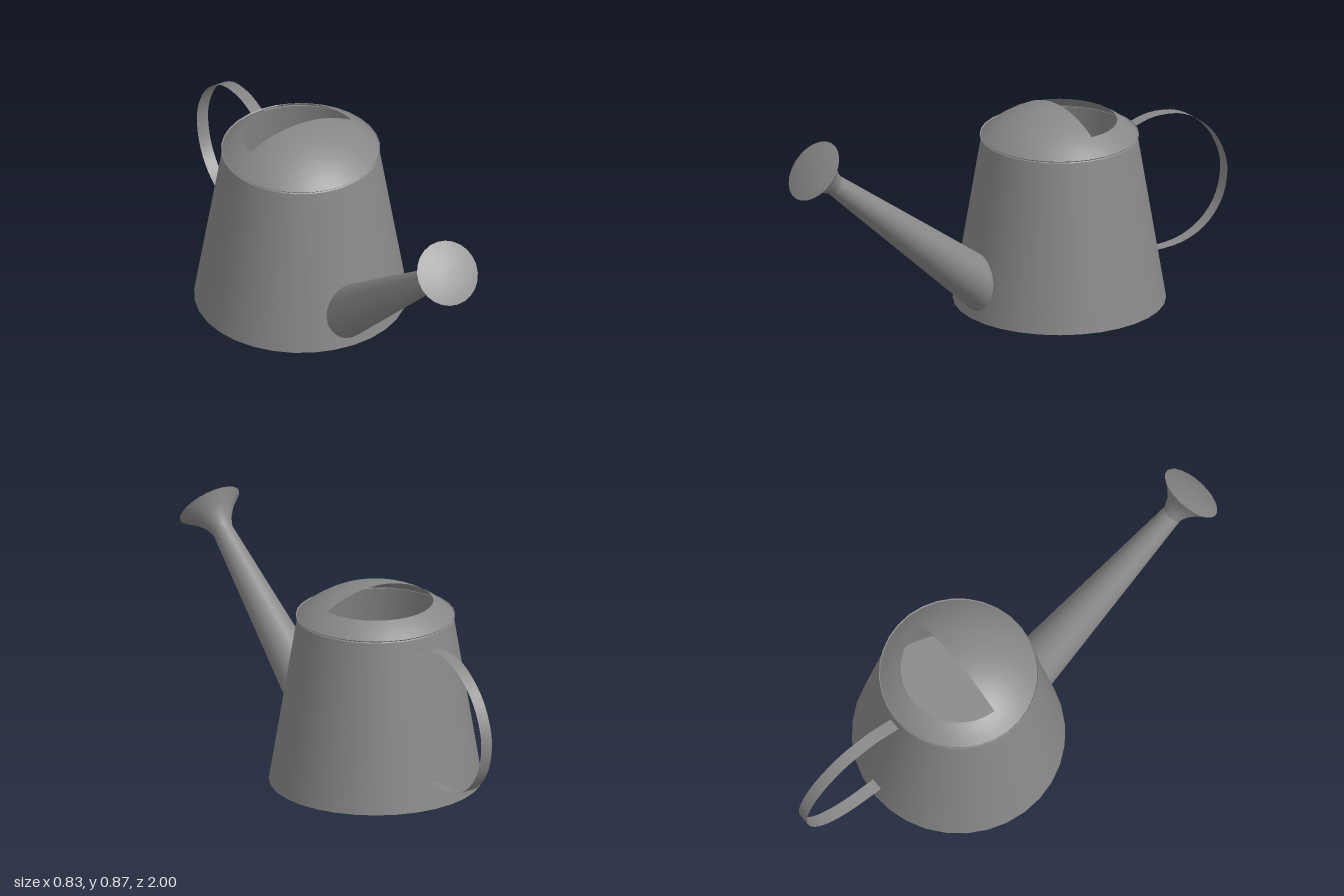
import * as THREE from 'three';

const SIDES = 32;

export function createModel() {
  const model = new THREE.Group();
  model.name = 'wateringCan';
  const metal = new THREE.MeshStandardMaterial({ color: 0x888888, side: THREE.DoubleSide });
  metal.name = 'greyMetal';

  const add = (name, geometry, parent) => {
    const mesh = new THREE.Mesh(geometry, metal);
    mesh.name = name;
    parent.add(mesh);
    return mesh;
  };
  // Turned part from [radius, height] pairs listed bottom to top
  const turned = (pairs, start = 0, sweep = Math.PI * 2, sides = SIDES) =>
    new THREE.LatheGeometry(pairs.map(([r, y]) => new THREE.Vector2(r, y)), sides, start, sweep);

  // Tapered can, open at the top under the hood
  const can = new THREE.Group();
  can.name = 'can';
  can.position.z = -0.23;
  model.add(can);
  add('bodyWall', turned([[0.414, 0.004], [0.302, 0.682]]), can);
  const floor = add('bodyFloor', new THREE.CircleGeometry(0.414, SIDES), can);
  floor.rotation.x = Math.PI / 2;
  floor.position.y = 0.004;
  add('rim', turned([[0.302, 0.676], [0.309, 0.684]]), can);

  // Shallow dome: whole over the front half, a ring around the filling hole behind
  const R = 0.448, peak = 0.8;
  const dome = (rInner, steps) => {
    const pairs = [];
    for (let i = 0; i <= steps; i++) {
      const r = THREE.MathUtils.lerp(0.309, rInner, i / steps);
      pairs.push([r, peak - R + Math.sqrt(R * R - r * r)]);
    }
    return pairs;
  };
  add('hoodFront', turned(dome(0, 10), -Math.PI / 2, Math.PI, SIDES / 2), can);
  add('hoodBackRing', turned(dome(0.225, 3), Math.PI / 2, Math.PI, SIDES / 2), can);

  // Tapered spout with a flared, slightly domed rose
  const spout = new THREE.Group();
  spout.name = 'spout';
  spout.position.set(0, 0.1, 0.092);
  spout.rotation.x = 0.885;
  model.add(spout);
  add('spoutTube', turned([[0.104, 0], [0.041, 0.947]], 0, Math.PI * 2, 24), spout);
  add('roseFlare', turned([[0.041, 0.947], [0.055, 0.985], [0.084, 1.025], [0.128, 1.066]], 0, Math.PI * 2, 24), spout);
  add('roseFace', turned([[0.128, 1.066], [0.09, 1.074], [0.045, 1.079], [0, 1.081]], 0, Math.PI * 2, 24), spout);

  // Flat strap swept along [z, y] points
  const strap = (points, width) => {
    const pos = [], index = [];
    points.forEach((p, i) => {
      pos.push(-width / 2, p.y, p.x, width / 2, p.y, p.x);
      if (i) {
        const a = 2 * i - 2;
        index.push(a, a + 1, a + 2, a + 1, a + 3, a + 2);
      }
    });
    const g = new THREE.BufferGeometry();
    g.setAttribute('position', new THREE.Float32BufferAttribute(pos, 3));
    g.setIndex(index);
    g.computeVertexNormals();
    return g;
  };
  const path = (pairs) => pairs.map(([z, y]) => new THREE.Vector2(z, y));
  const arc = new THREE.SplineCurve(path([
    [-0.545, 0.64], [-0.66, 0.668], [-0.8, 0.648], [-0.92, 0.562], [-0.985, 0.45],
    [-0.997, 0.35], [-0.965, 0.245], [-0.89, 0.163], [-0.78, 0.118], [-0.632, 0.11],
  ]));
  add('handle', strap(arc.getPoints(36), 0.05), model);

  // Bent tabs holding the handle to the wall
  add('handleTopTab', strap(path([[-0.55, 0.64], [-0.558, 0.595]]), 0.05), model);
  add('handleBottomTab', strap(path([[-0.635, 0.11], [-0.645, 0.05]]), 0.05), model);

  return model;
}
